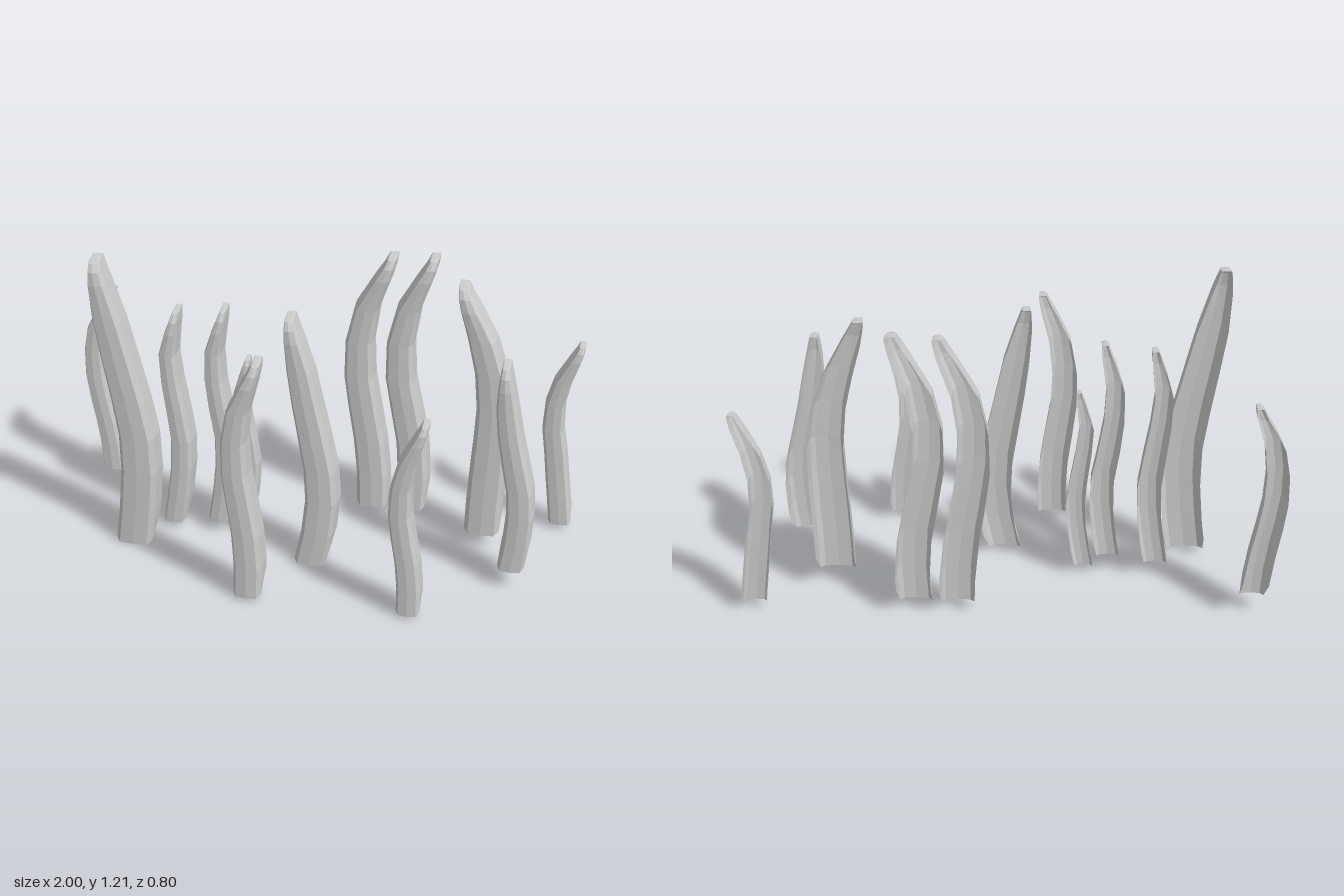
import * as THREE from 'three';

// Rows of blades sharing a back plane z and a depth.
// Each blade: [base y, tip y, half width, centre-line x at six even heights]
const ROWS = [
  { z: 0.30, depth: 0.10, blades: [
    [0.01, 1.00, 0.057, [-0.165, -0.162, -0.187, -0.21, -0.19, -0.12]]] },
  { z: 0.305, depth: 0.083, blades: [
    [0.01, 0.82, 0.047, [0.445, 0.443, 0.417, 0.40, 0.427, 0.485]]] },
  { z: 0.03, depth: 0.10, blades: [
    [0.00, 1.21, 0.077, [-0.69, -0.66, -0.658, -0.70, -0.747, -0.785]],
    [0.00, 1.05, 0.066, [0.02, 0.06, 0.055, 0.015, -0.022, -0.06]],
    [0.08, 0.94, 0.054, [0.795, 0.815, 0.808, 0.77, 0.742, 0.73]]] },
  { z: -0.12, depth: 0.10, blades: [
    [0.02, 0.955, 0.046, [-0.565, -0.535, -0.525, -0.55, -0.568, -0.53]],
    [0.05, 0.98, 0.045, [-0.38, -0.352, -0.348, -0.38, -0.388, -0.345]]] },
  { z: -0.10, depth: 0.06, blades: [
    [0.015, 0.78, 0.036, [-0.287, -0.26, -0.25, -0.268, -0.286, -0.255]]] },
  { z: -0.23, depth: 0.10, blades: [
    [0.055, 1.11, 0.073, [0.655, 0.66, 0.67, 0.667, 0.615, 0.535]]] },
  { z: -0.40, depth: 0.10, blades: [
    [0.055, 0.865, 0.048, [-0.905, -0.917, -0.945, -0.963, -0.945, -0.88]],
    [0.015, 1.12, 0.066, [0.19, 0.182, 0.147, 0.12, 0.15, 0.245]],
    [0.02, 1.13, 0.064, [0.345, 0.352, 0.315, 0.28, 0.312, 0.405]]] },
  { z: -0.39, depth: 0.07, blades: [
    [0.02, 0.82, 0.047, [0.95, 0.93, 0.91, 0.89, 0.918, 0.98]]] },
];

// Half-shell cross-section, open at the back: [across, forward]
const SECTION = [[-1, 0], [-0.94, 0.7], [-0.7, 0.95], [0, 1], [0.7, 0.95], [0.94, 0.7], [1, 0]];

// Half-width factor along the blade: [height fraction, factor]
const TAPER = [[0, 1], [0.2, 1], [0.4, 0.96], [0.6, 0.89], [0.8, 0.74], [0.92, 0.5], [1, 0.25]];

function taper(t) {
  const i = Math.max(1, TAPER.findIndex(([f]) => f >= t));
  const [t0, w0] = TAPER[i - 1], [t1, w1] = TAPER[i];
  return THREE.MathUtils.mapLinear(t, t0, t1, w0, w1);
}

function bladeGeometry(z, depth, [y0, y1, halfWidth, xs]) {
  const h = y1 - y0;
  const path = new THREE.SplineCurve(xs.map((x, i) => new THREE.Vector2(x, i)));

  // Body rings, then the tip closing backwards like the bow of a boat
  const rings = [0, 0.13, 0.27, 0.4, 0.53, 0.67, 0.8].map((t) => [t, 1]);
  for (const [drop, d] of [[0.9, 1], [0.4, 0.93], [0.1, 0.75], [0, 0]]) {
    rings.push([1 - (drop * depth) / h, d]);
  }

  const positions = [], index = [], n = SECTION.length;
  rings.forEach(([t, d], i) => {
    for (const [sx, sz] of SECTION) {
      // The bottom rim curves up towards the back
      const tt = i === 0 ? (0.9 * depth * (1 - sz) ** 2) / h : t;
      const x = path.getPoint(tt).x + sx * halfWidth * taper(tt);
      positions.push(x, y0 + tt * h, z + sz * d * depth);
    }
    if (i === 0) return;
    for (let j = 0; j < n - 1; j++) {
      const a = (i - 1) * n + j, b = a + n;
      index.push(a, a + 1, b + 1, a, b + 1, b);
    }
  });

  const geometry = new THREE.BufferGeometry();
  geometry.setAttribute('position', new THREE.Float32BufferAttribute(positions, 3));
  geometry.setIndex(index);
  geometry.computeVertexNormals();
  return geometry;
}

export function createModel() {
  const group = new THREE.Group();
  group.name = 'grassBlades';
  const material = new THREE.MeshStandardMaterial({
    color: 0xcccccc, flatShading: true, side: THREE.DoubleSide,
  });
  for (const { z, depth, blades } of ROWS) {
    for (const blade of blades) {
      const mesh = new THREE.Mesh(bladeGeometry(z, depth, blade), material);
      mesh.name = 'blade';
      group.add(mesh);
    }
  }
  return group;
}
